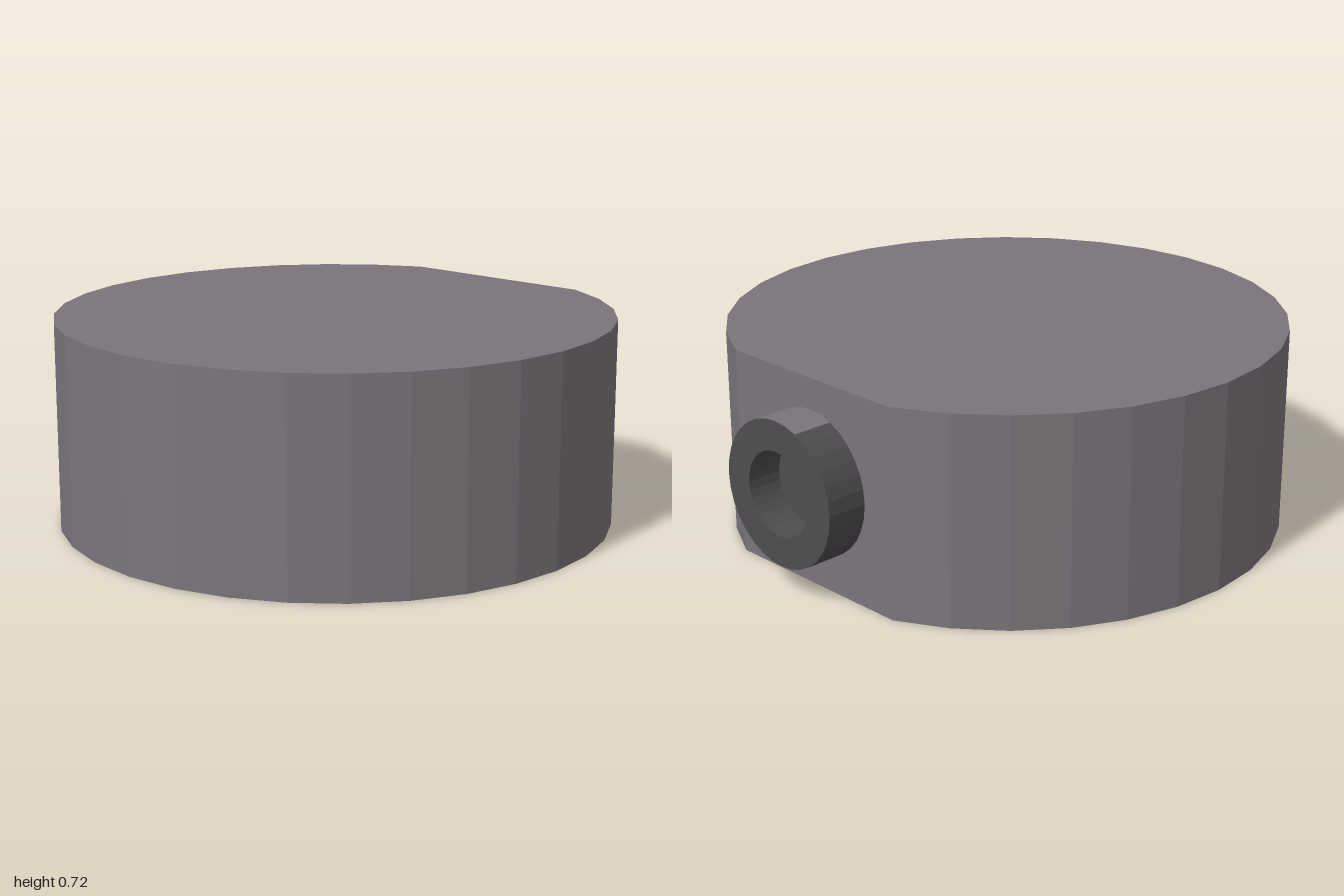
import * as THREE from 'three';

const RADIUS = 0.965, HEIGHT = 0.72, CENTRE_Z = 0.035;
const FLAT_Z = -RADIUS * Math.cos(Math.PI / 8);

export function createModel() {
  const model = new THREE.Group();
  const bodyGrey = new THREE.MeshStandardMaterial({ color: 0x7b757b, flatShading: true });
  bodyGrey.name = 'warm grey';
  const darkGrey = new THREE.MeshStandardMaterial({ color: 0x4f4e4f, flatShading: true });
  darkGrey.name = 'dark grey';

  const add = (parent, name, geometry, material) => {
    const mesh = new THREE.Mesh(geometry, material);
    mesh.name = name;
    parent.add(mesh);
    return mesh;
  };

  // Drum with its rear rim pressed to a flat
  const drum = new THREE.CylinderGeometry(RADIUS, RADIUS, HEIGHT, 32);
  const pos = drum.attributes.position;
  for (let i = 0; i < pos.count; i++) pos.setZ(i, Math.max(pos.getZ(i), FLAT_Z));
  drum.computeVertexNormals();
  add(model, 'drum', drum, bodyGrey).position.set(0, HEIGHT / 2, CENTRE_Z);

  // Round socket on the flat, built along y and turned to face back
  const socket = new THREE.Group();
  socket.name = 'socket';
  socket.position.set(0, HEIGHT / 2 + 0.003, CENTRE_Z + FLAT_Z);
  socket.rotation.x = -Math.PI / 2;
  model.add(socket);

  const outer = 0.25, inner = 0.145, depth = 1 + CENTRE_Z + FLAT_Z;
  const wall = (start, length, segments) =>
    new THREE.CylinderGeometry(outer, outer, depth, segments, 1, true, start, length)
      .translate(0, depth / 2, 0);
  add(socket, 'socketWall', wall(Math.PI / 8, Math.PI * 1.75, 28), darkGrey);
  add(socket, 'socketTopPatch', wall(-Math.PI / 8, Math.PI / 4, 4), bodyGrey);

  // Rim, bore and recessed floor
  const profile = [[outer, depth], [inner, depth], [inner, 0.02], [0, 0.02]]
    .map(([r, h]) => new THREE.Vector2(r, h));
  add(socket, 'socketRimAndBore', new THREE.LatheGeometry(profile, 32), darkGrey);

  return model;
}
